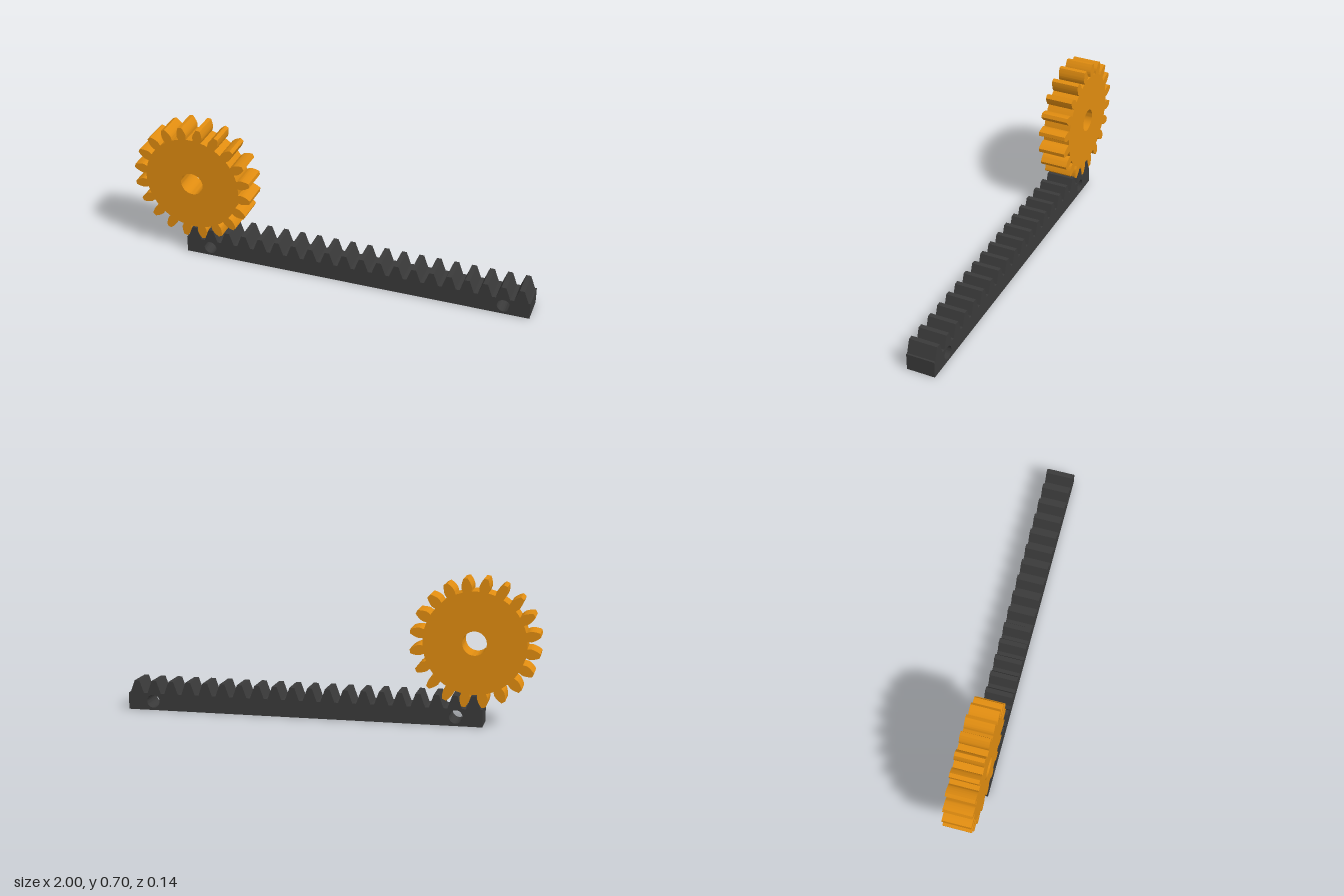
import * as THREE from 'three';
import { toCreasedNormals } from 'three/addons/utils/BufferGeometryUtils.js';

const TEETH = 20;
const PITCH = 0.0871;                 // tooth spacing along the rack
const MODULE = PITCH / Math.PI;
const PRESSURE = THREE.MathUtils.degToRad(20);
const DEPTH = 0.138;

const involute = (a) => Math.tan(a) - a;

function addHole(shape, x, y, r) {
  const hole = new THREE.Path();
  hole.absarc(x, y, r, 0, Math.PI * 2, true);
  shape.holes.push(hole);
}

// Extrude a profile, centred in z, keeping hard edges crisp
function extrude(shape, material, name) {
  const geo = new THREE.ExtrudeGeometry(shape, { depth: DEPTH, bevelEnabled: false, curveSegments: 24 });
  geo.translate(0, 0, -DEPTH / 2);
  const mesh = new THREE.Mesh(toCreasedNormals(geo, 0.45), material);
  mesh.name = name;
  return mesh;
}

// Spur gear profile with involute flanks, slightly undercut at the root
function gearShape() {
  const pitchR = (TEETH * MODULE) / 2;
  const baseR = pitchR * Math.cos(PRESSURE);
  const tipR = pitchR + MODULE;
  const rootR = pitchR - 1.25 * MODULE;
  const step = (Math.PI * 2) / TEETH;

  // Half of one tooth as [radius, half angle], from root to tip
  const flank = [[rootR, 0.0848], [rootR + 0.007, 0.0872], [rootR + 0.013, 0.0905]];
  for (let i = 0; i <= 8; i++) {
    const r = baseR + ((tipR - baseR) * i) / 8;
    const a = Math.acos(Math.min(1, baseR / r));
    flank.push([r, step / 4 + involute(PRESSURE) - involute(a)]);
  }

  const points = [];
  const add = (r, a) => points.push(new THREE.Vector2(r * Math.cos(a), r * Math.sin(a)));
  for (let k = 0; k < TEETH; k++) {
    const mid = (k + 0.5) * step;
    flank.forEach(([r, a]) => add(r, mid - a));
    add(tipR, mid);
    [...flank].reverse().forEach(([r, a]) => add(r, mid + a));
    add(rootR, mid + step / 2);       // middle of the gap
  }
  const shape = new THREE.Shape(points);
  addHole(shape, 0, 0, 0.057);
  return shape;
}

// Straight bar with trapezoid teeth along its top
function rackShape() {
  const left = -0.742, right = 1.0;
  const baseY = 0.083, tipY = baseY + 2.25 * MODULE;
  const tan = Math.tan(PRESSURE);
  const tipHalf = PITCH / 4 - MODULE * tan;
  const rootHalf = PITCH / 4 + 1.25 * MODULE * tan;

  const shape = new THREE.Shape();
  shape.moveTo(left, 0);
  shape.lineTo(right, 0);
  shape.lineTo(right, baseY);
  for (let i = TEETH - 1; i >= 0; i--) {
    const x = left + (i + 0.5) * PITCH;
    shape.lineTo(x + rootHalf, baseY);
    shape.lineTo(x + tipHalf, tipY);
    shape.lineTo(x - tipHalf, tipY);
    shape.lineTo(x - rootHalf, baseY);
  }
  shape.lineTo(left, baseY);
  shape.closePath();

  // Mounting holes near both ends
  for (const x of [left + 0.125, right - 0.126]) addHole(shape, x, 0.044, 0.032);
  return shape;
}

export function createModel() {
  const orange = new THREE.MeshStandardMaterial({ color: 0xe08c10 });
  orange.name = 'orange';
  const charcoal = new THREE.MeshStandardMaterial({ color: 0x3a3a3a });
  charcoal.name = 'charcoal';

  const model = new THREE.Group();
  model.name = 'rackAndPinion';

  const pinion = extrude(gearShape(), orange, 'pinionGear');
  pinion.position.set(-0.698, 0.3955, 0);
  model.add(pinion, extrude(rackShape(), charcoal, 'toothedRack'));
  return model;
}
